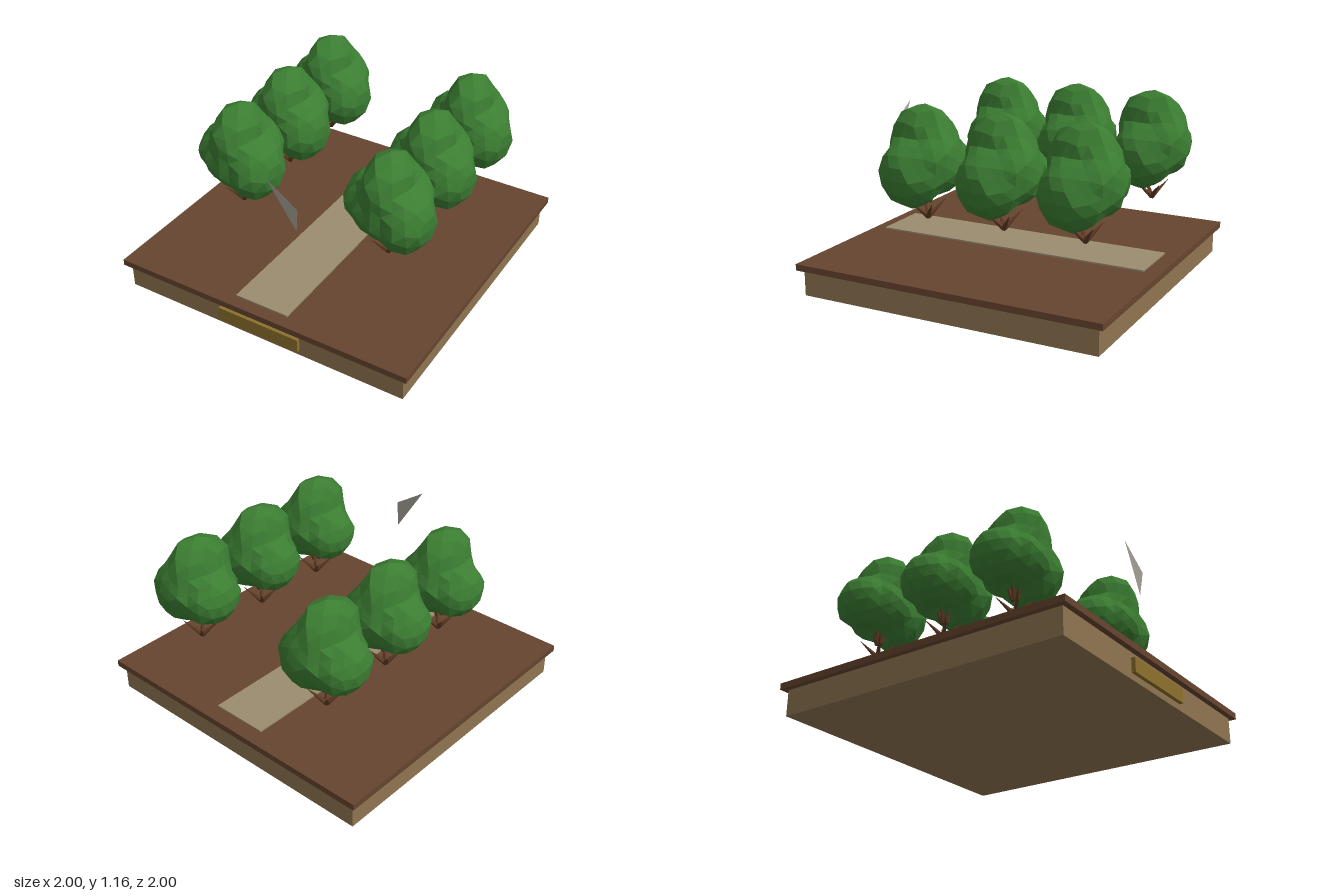
import * as THREE from 'three';

const mat = (color, extra = {}) => new THREE.MeshStandardMaterial({ color, ...extra });
const bark = mat(0x5e3a24, { flatShading: true });
const leaves = mat(0x3b7d32, { flatShading: true });

function box(name, [x0, x1], [y0, y1], [z0, z1], color) {
  const mesh = new THREE.Mesh(new THREE.BoxGeometry(x1 - x0, y1 - y0, z1 - z0), mat(color));
  mesh.position.set((x0 + x1) / 2, (y0 + y1) / 2, (z0 + z1) / 2);
  mesh.name = name;
  return mesh;
}

// Tapered stick between two points
function stick(name, a, b, r0, r1) {
  const from = new THREE.Vector3(...a), to = new THREE.Vector3(...b);
  const dir = to.clone().sub(from);
  const mesh = new THREE.Mesh(new THREE.CylinderGeometry(r1, r0, dir.length(), 5), bark);
  mesh.position.copy(from).add(to).multiplyScalar(0.5);
  mesh.quaternion.setFromUnitVectors(new THREE.Vector3(0, 1, 0), dir.normalize());
  mesh.name = name;
  return mesh;
}

// Crown lobes: centre and radii of each ellipsoid
const LOBES = [
  { c: [0, 0.945, 0.01], r: [0.145, 0.215, 0.22] },
  { c: [-0.125, 0.8, -0.02], r: [0.16, 0.17, 0.19] },
  { c: [0.13, 0.755, 0.03], r: [0.16, 0.2, 0.21] },
  { c: [-0.01, 0.8, 0.06], r: [0.19, 0.18, 0.17] },
  { c: [0.04, 0.83, -0.1], r: [0.18, 0.2, 0.15] },
];

// Distance along a ray from o to the far side of a lobe
function reach(o, d, { c, r }) {
  let A = 0, B = 0, C = -1;
  d.toArray().forEach((v, i) => {
    const p = (o[i] - c[i]) / r[i], q = v / r[i];
    A += q * q; B += p * q; C += p * p;
  });
  const disc = B * B - A * C;
  return disc < 0 ? 0 : (-B + Math.sqrt(disc)) / A;
}

// Faceted crown: a sphere pushed out to the union of the lobes
function crownGeometry() {
  const geo = new THREE.IcosahedronGeometry(1, 3);
  const pos = geo.attributes.position, d = new THREE.Vector3(), o = [0, 0.82, 0];
  for (let i = 0; i < pos.count; i++) {
    d.fromBufferAttribute(pos, i).normalize();
    const bump = 1 + 0.035 * Math.sin(9 * d.x + 4 * d.y) * Math.sin(8 * d.z - 7 * d.y + 1);
    const t = Math.max(...LOBES.map(l => reach(o, d, l))) * bump;
    pos.setXYZ(i, o[0] + d.x * t, o[1] + d.y * t, o[2] + d.z * t);
  }
  geo.computeVertexNormals();
  return geo;
}

function makeTree(crownGeo) {
  const tree = new THREE.Group();
  const crown = new THREE.Mesh(crownGeo, leaves);
  crown.name = 'crown';
  tree.add(crown);
  // Forked branches under the crown
  for (const [x, z] of [[-0.06, 0.02], [0.06, 0.02], [0.01, -0.07], [0, 0.06]])
    tree.add(stick('branch', [x * 0.25, 0.56, z * 0.25], [x, 0.72, z], 0.013, 0.01));
  // Splayed spikes at the foot
  for (const x of [-1, 1]) for (const z of [-1, 1])
    tree.add(stick('rootSpike', [0, 0.465, 0], [x * 0.08, 0.57, z * 0.08], 0.018, 0.001));
  return tree;
}

export function createModel() {
  const model = new THREE.Group();
  model.name = 'treeDisplay';

  // Plinth, soil slab, path and front plate
  model.add(
    box('plinth', [-0.965, 0.965], [0, 0.165], [-0.965, 0.965], 0x8f7550),
    box('soilSlab', [-1, 1], [0.165, 0.205], [-1, 1], 0x66452f),
    box('path', [-0.195, 0.17], [0.205, 0.215], [-0.9, 0.92], 0x9a8c6e),
    box('frontPlate', [-0.28, 0.28], [0.04, 0.13], [0.96, 0.99], 0x8c702c),
  );

  // Two rows of three trees
  const crownGeo = crownGeometry();
  for (const x of [-0.52, 0.52]) for (const z of [-0.68, -0.16, 0.36]) {
    const tree = makeTree(crownGeo);
    tree.position.set(x, 0, z);
    tree.name = 'tree';
    model.add(tree);
  }

  // Thin floating shard
  const shardGeo = new THREE.BufferGeometry();
  shardGeo.setAttribute('position', new THREE.Float32BufferAttribute(
    [-0.01, 1.05, 0.815, 0.175, 0.755, 0.803, 0.195, 0.915, 0.818], 3));
  shardGeo.computeVertexNormals();
  const shard = new THREE.Mesh(shardGeo, mat(0xaaa59a, { side: THREE.DoubleSide }));
  shard.name = 'shard';
  model.add(shard);

  return model;
}
